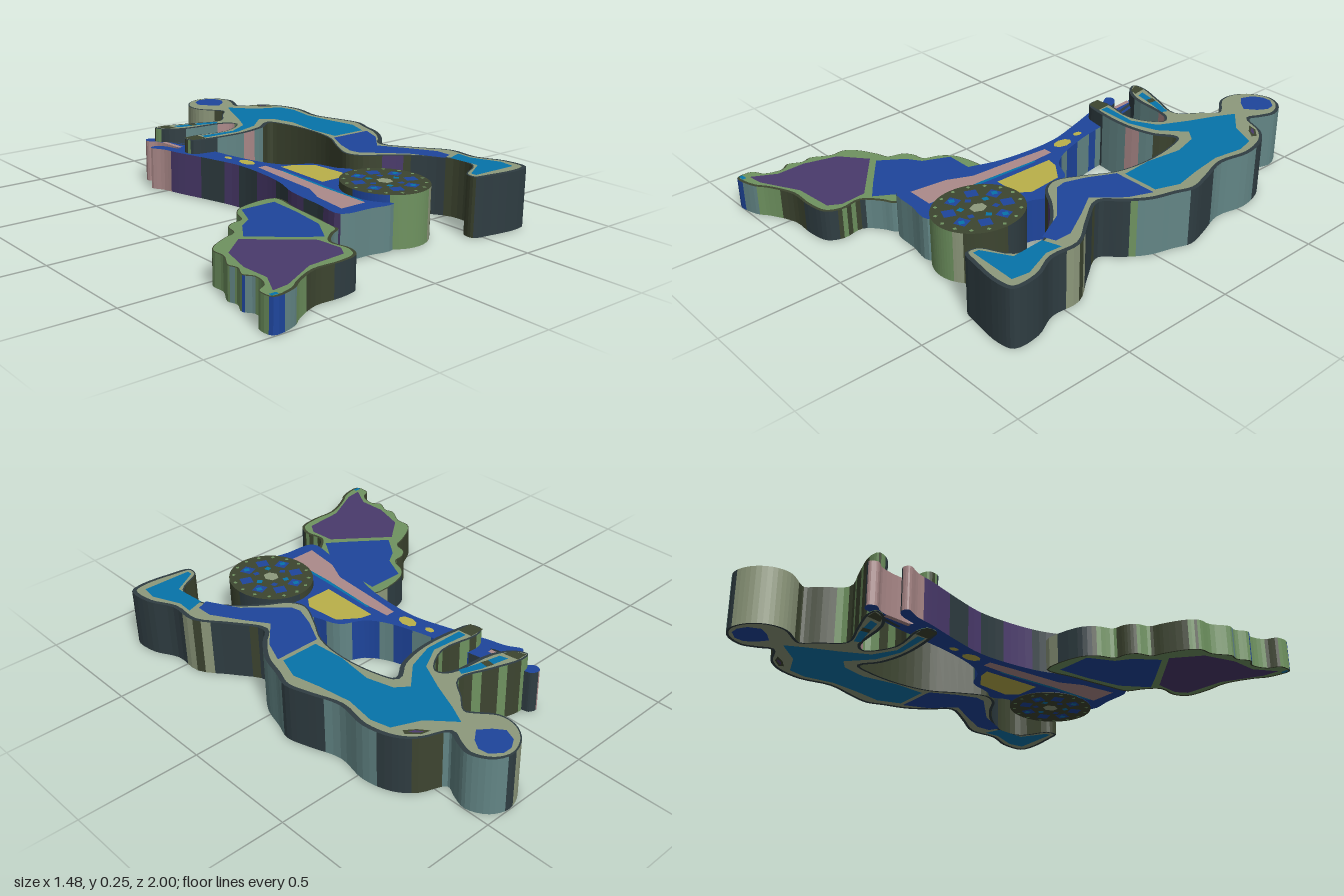
import * as THREE from 'three';

const mat = (name, color) => {
  const m = new THREE.MeshStandardMaterial({ color });
  m.name = name;
  return m;
};
const blue = mat('blue', 0x1e459c), teal = mat('teal', 0x0674aa), yellow = mat('yellow', 0xbab04a),
  pink = mat('dusty pink', 0xac8a8a), purple = mat('purple', 0x4a3a6c), green = mat('green', 0x6f9360),
  sage = mat('sage', 0x8e997c), olive = mat('dark olive', 0x3d4530), slate = mat('slate', 0x2f3d42),
  grey = mat('teal grey', 0x638686);

// Closed outline through [x, z] points, wound one way; detail 1 keeps straight edges
function outline(pts, detail) {
  const curve = new THREE.CatmullRomCurve3(pts.map(([x, z]) => new THREE.Vector3(x, 0, z)), true, 'centripetal');
  const out = [];
  for (let i = 0; i < pts.length * detail; i++) {
    const p = curve.getPoint(i / (pts.length * detail));
    out.push(new THREE.Vector2(p.x, p.z));
  }
  return THREE.ShapeUtils.area(out) < 0 ? out.reverse() : out;
}

// Outline moved inwards by w, and nudged towards the back left
function inset(pts, w) {
  return pts.map((p, i) => {
    const a = pts[(i + pts.length - 1) % pts.length], b = pts[(i + 1) % pts.length];
    const len = a.distanceTo(b) || 1;
    return new THREE.Vector2(p.x - w * ((b.y - a.y) / len + 0.4), p.y - w * ((a.x - b.x) / len + 0.35));
  });
}

function ellipse(x, z, rx, rz, n = 14, turn = 0) {
  return Array.from({ length: n }, (_, i) => {
    const a = turn + i / n * Math.PI * 2;
    return [x + rx * Math.cos(a), z + rz * Math.sin(a)];
  });
}

// Flat face at height y, looking up or down
function face(name, pts, y, up, material) {
  const s = up ? -1 : 1;
  const g = new THREE.ShapeGeometry(new THREE.Shape(pts.map(p => new THREE.Vector2(p.x, p.y * s))));
  g.rotateX(s * Math.PI / 2).translate(0, y, 0);
  const m = new THREE.Mesh(g, material);
  m.name = name;
  return m;
}

// Upright slab: two caps, and walls coloured by pick(midX, midZ, normalX, normalZ)
function slab(name, points, y0, y1, cap, pick) {
  const group = new THREE.Group(), pts = outline(points, 4), walls = new Map();
  group.name = name;
  pts.forEach((a, i) => {
    const b = pts[(i + 1) % pts.length], len = a.distanceTo(b) || 1;
    const m = pick((a.x + b.x) / 2, (a.y + b.y) / 2, (b.y - a.y) / len, (a.x - b.x) / len);
    if (!walls.has(m)) walls.set(m, []);
    walls.get(m).push(a.x, y0, a.y, a.x, y1, a.y, b.x, y1, b.y, a.x, y0, a.y, b.x, y1, b.y, b.x, y0, b.y);
  });
  for (const [m, pos] of walls) {
    const g = new THREE.BufferGeometry();
    g.setAttribute('position', new THREE.Float32BufferAttribute(pos, 3));
    g.computeVertexNormals();
    const wall = new THREE.Mesh(g, m);
    wall.name = `${name} ${m.name} wall`;
    group.add(wall);
  }
  // Faces repeated on the top and the underside
  const both = (label, o, material, lift) =>
    group.add(face(label, o, y1 + lift, true, material), face(label + ' underside', o, y0 - lift, false, material));
  both(name + ' cap', pts, cap, 0);
  group.border = (material, w) => both(name + ' border', inset(pts, w), material, 0.0012);
  group.panel = (label, p, material, lift = 0.0024) => both(label, outline(p, 1), material, lift);
  return group;
}

// Regular alternation along a wall
const stripe = (v, width) => Math.floor((v + 5) / width) % 2 === 0;

function makePerson() {
  const body = [
    [.32, -.74], [.26, -.82], [.26, -.90], [.31, -.97], [.39, -1], [.46, -.97], [.5, -.89], [.48, -.82], [.46, -.77],
    [.56, -.72], [.62, -.65], [.65, -.53], [.63, -.39], [.67, -.26], [.695, -.16], [.67, -.08], [.64, .02], [.58, .11],
    [.52, .18], [.59, .3], [.68, .43], [.68, .56], [.73, .67], [.73, .78], [.67, .8], [.53, .785], [.455, .765],
    [.46, .71], [.57, .64], [.58, .53], [.5, .41], [.41, .33], [.32, .27], [.29, .2], [.34, .08], [.4, -.03], [.42, -.18],
    [.4, -.34], [.37, -.41], [.29, -.36], [.16, -.33], [-.02, -.34], [-.09, -.36], [-.1, -.41], [-.05, -.43], [.12, -.41],
    [.23, -.48], [.2, -.52], [0, -.55], [-.08, -.6], [-.1, -.65], [-.05, -.66], [.08, -.62], [.21, -.58], [.28, -.66],
    [.33, -.72]];
  const p = slab('person', body, 0.003, 0.25, slate, (x, z, nx, nz) => {
    if (z < -.76) return nx > .3 ? grey : nx > -.2 ? slate : sage;
    if (nx > 0 && x > .45) {
      if (z > .5) return slate;
      if (z > .36) return stripe(z, .025) ? olive : sage;
      if (z > .25) return slate;
      if (z > .21) return olive;
      if (z > .085) return slate;
      if (z > -.13) return z > .06 ? green : grey;
      if (z > -.31) return slate;
      if (z > -.6) return grey;
      return z > -.71 ? slate : olive;
    }
    if (z > .26 && z < .45 && x > .385 && x < .47) return x < .455 ? purple : olive;
    if (nz > .5) {
      if (z > 0) return x > .45 ? slate : olive;
      return x < .02 ? slate : x < .17 ? grey : x < .24 ? pink : x < .28 ? grey : olive;
    }
    return z < -.3 && x < .3 && stripe(x, .05) ? green : olive;
  });
  p.border(sage, .012);
  p.panel('head panel', [
    [.31, -.9], [.33, -.95], [.37, -.975], [.41, -.975], [.45, -.94], [.455, -.9], [.43, -.86], [.385, -.825], [.34, -.86]],
  blue);
  p.panel('shirt', [
    [.39, -.76], [.48, -.66], [.59, -.61], [.61, -.53], [.59, -.4], [.61, -.26], [.635, -.14], [.6, -.04], [.44, -.04],
    [.43, -.18], [.45, -.34], [.42, -.45], [.37, -.49], [.27, -.4], [.15, -.36], [-.02, -.365], [-.02, -.4], [.14, -.385],
    [.24, -.44], [.3, -.56], [.35, -.68]], teal);
  p.panel('far sleeve', [[-.02, -.62], [.1, -.595], [.18, -.565], [.17, -.54], [.08, -.565], [-.01, -.585]], teal);
  p.panel('sleeve seam', [[.05, -.61], [.08, -.6], [.075, -.565], [.045, -.575]], olive, .0034);
  p.panel('trousers', [
    [.415, -.02], [.36, .09], [.33, .18], [.34, .225], [.49, .365], [.56, .5], [.61, .48], [.61, .41], [.54, .29],
    [.475, .19], [.57, .08], [.61, -.02]], blue);
  p.panel('boot', [
    [.575, .515], [.65, .49], [.645, .56], [.695, .68], [.685, .75], [.475, .745], [.475, .72], [.585, .655]], teal);
  p.panel('near hand', [[-.1, -.42], [-.03, -.42], [-.025, -.355], [-.09, -.36]], olive);
  p.panel('far hand', [[-.09, -.65], [-.04, -.65], [-.03, -.585], [-.07, -.6]], olive);
  p.panel('shoulder mark', [[.5, -.72], [.54, -.71], [.58, -.67], [.57, -.65], [.53, -.68]], olive);
  p.panel('shoulder mark centre', [[.52, -.71], [.54, -.7], [.565, -.67], [.54, -.68]], purple, .0034);
  return p;
}

function makeMachine() {
  const frame = [
    [-.18, -.56], [-.155, -.575], [-.12, -.55], [-.09, -.47], [-.08, -.52], [-.1, -.63], [-.13, -.67], [-.115, -.7],
    [-.08, -.69], [-.07, -.66], [-.03, -.55], [0, -.39], [.03, -.21], [.08, -.05], [.13, .02], [.22, .07], [.26, .18],
    [.295, .23], [.27, .29], [.25, .4], [.14, .56], [.11, .67], [0, .66], [-.13, .64], [-.12, .5], [-.1, .32], [-.06, .2],
    [-.04, .06], [-.04, -.1], [-.08, -.26], [-.13, -.42], [-.15, -.5]];
  const m = slab('machine frame', frame, 0.005, 0.19, blue, (x, z, nx, nz) => {
    if (nz > .7) return x > .02 && x < .04 ? slate : grey;
    if (z < -.42) return nx < 0 ? (z > -.46 ? purple : pink) : slate;
    if (nx < 0) return stripe(z, .12) ? purple : slate;
    return stripe(z, .07) ? grey : blue;
  });
  m.panel('long pink panel', [
    [0, -.02], [.04, -.02], [.045, .1], [.03, .35], [.03, .6], [-.09, .6], [-.07, .44], [-.025, .34], [-.01, .1]], pink);
  m.panel('panel trim', [[.045, .08], [.055, .08], [.045, .35], [.04, .58], [.03, .58], [.03, .35]], teal);
  m.panel('engine panel', [[.08, .03], [.13, .04], [.21, .1], [.225, .25], [.19, .3], [.075, .3]], yellow);
  m.panel('large button', ellipse(.01, -.11, .027, .045, 8), yellow);
  m.panel('small button', ellipse(-.01, -.215, .014, .022, 8), yellow);
  m.panel('grip stripe', [[-.095, -.6], [-.075, -.6], [-.065, -.48], [-.085, -.48]], pink);
  m.panel('handle edge', [[-.07, -.64], [-.05, -.59], [-.03, -.5], [-.045, -.5], [-.065, -.58]], slate);
  return m;
}

function makeWheel() {
  const cx = .215, cz = .51;
  const w = slab('wheel', ellipse(cx, cz, .17, .19, 20), 0.003, 0.22, olive, (x, z, nx, nz) => {
    if (nz > 0) return x < .105 ? blue : x < .28 ? green : x < .31 ? sage : olive;
    return nx > 0 ? slate : olive;
  });
  // Ring of square openings, with small tread marks near the edge
  for (let i = 0; i < 8; i++) {
    const a = (i + .5) / 8 * Math.PI * 2, c = Math.cos(a), s = Math.sin(a);
    w.panel('outer opening', ellipse(cx + .105 * c, cz + .118 * s, .034, .034, 4, a + Math.PI / 4), blue);
    if (i % 2) w.panel('opening glint', ellipse(cx + .11 * c, cz + .123 * s, .016, .016, 4, a), teal, .0034);
  }
  for (let i = 0; i < 16; i++) {
    const a = i / 16 * Math.PI * 2;
    w.panel('tread mark', ellipse(cx + .152 * Math.cos(a), cz + .17 * Math.sin(a), .009, .009, 4, a), green);
  }
  for (let i = 0; i < 6; i++) {
    const a = i / 6 * Math.PI * 2;
    w.panel('inner opening', ellipse(cx + .062 * Math.cos(a), cz + .07 * Math.sin(a), .016, .016, 4, a), i % 2 ? blue : teal);
  }
  w.panel('hub', ellipse(cx, cz, .03, .036, 6), sage);
  return w;
}

function makePlume() {
  const edge = [
    [-.27, .22], [-.09, .21], [-.1, .35], [-.12, .53], [-.14, .64], [-.19, .67], [-.25, .73], [-.24, .82], [-.27, .88],
    [-.36, .9], [-.47, .9], [-.58, .95], [-.63, .985], [-.73, 1], [-.735, .93], [-.69, .9], [-.67, .83], [-.695, .79],
    [-.67, .73], [-.68, .69], [-.64, .61], [-.64, .55], [-.61, .51], [-.52, .46], [-.47, .44], [-.45, .38], [-.41, .35],
    [-.36, .34], [-.33, .27]];
  const p = slab('debris plume', edge, 0.004, 0.135, olive, (x, z, nx, nz) => {
    if (nz > .3) return x < -.69 ? blue : x < -.62 ? grey : x < -.54 ? green : x < -.4 ? olive : x < -.24 ? slate : grey;
    if (nx > .5) return stripe(z, .025) ? green : olive;
    if (z < .26) return x > -.2 ? sage : slate;
    return stripe(x + z, .07) && nz < -.5 ? olive : green;
  });
  p.border(green, .008);
  p.panel('upper spray panel', [
    [-.29, .25], [-.13, .25], [-.14, .4], [-.165, .56], [-.24, .68], [-.32, .62], [-.47, .5], [-.4, .4], [-.34, .36]], blue);
  p.panel('lower spray panel', [
    [-.5, .51], [-.28, .69], [-.27, .8], [-.3, .85], [-.47, .865], [-.63, .95], [-.7, .96], [-.645, .86], [-.65, .74],
    [-.61, .6]], purple);
  p.panel('plume tip', [[-.73, .975], [-.7, .975], [-.7, .992], [-.73, .992]], teal);
  return p;
}

export function createModel() {
  const model = new THREE.Group();
  model.name = 'worker pushing a wheeled machine';
  model.add(makePerson(), makeMachine(), makeWheel(), makePlume());
  return model;
}
